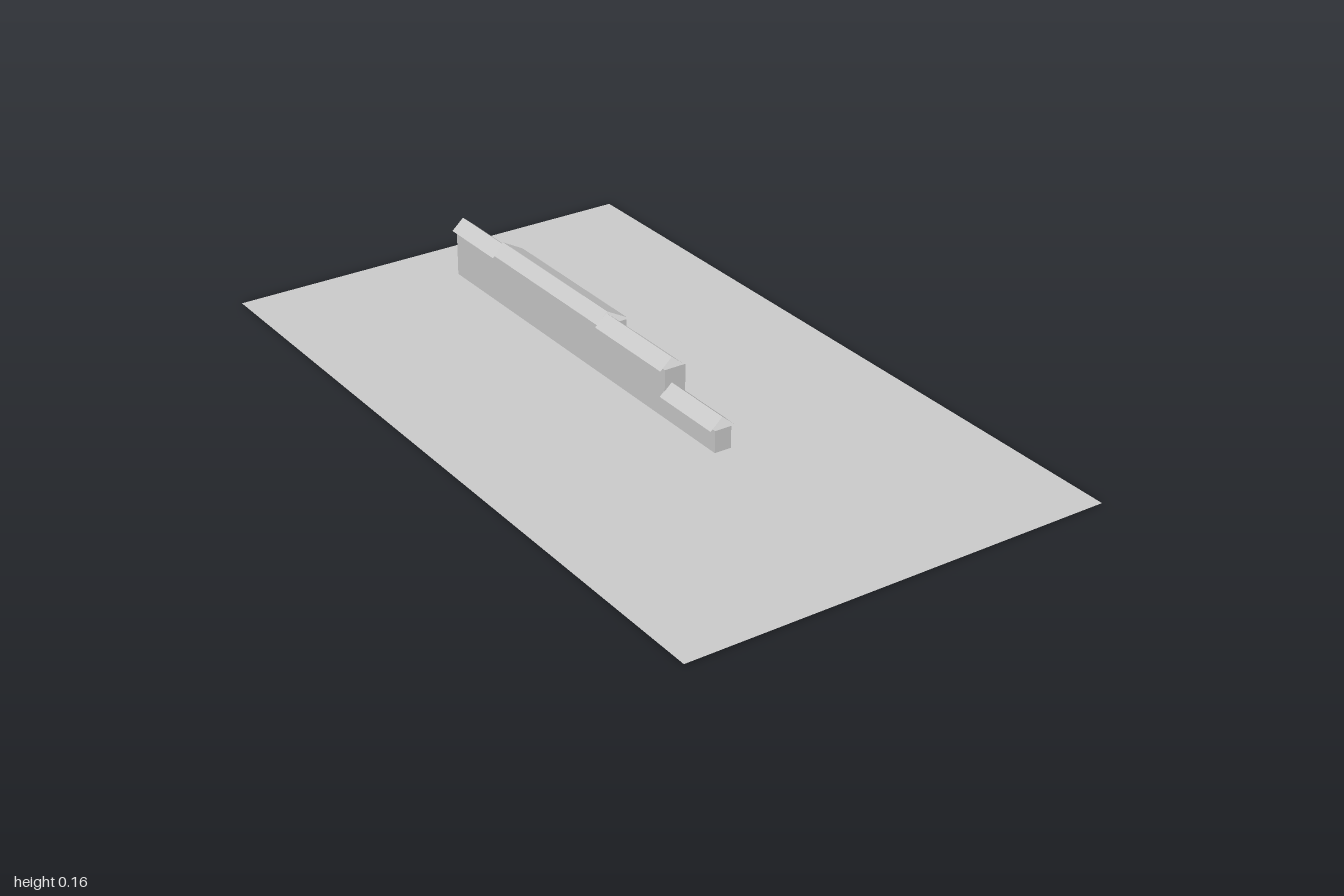
import * as THREE from 'three';

export function createModel() {
  const model = new THREE.Group();
  const grey = new THREE.MeshStandardMaterial({ color: 0xcccccc, flatShading: true });
  const thin = new THREE.MeshStandardMaterial({ color: 0xcccccc, flatShading: true, side: THREE.DoubleSide });

  const add = (name, geometry, material = grey, parent = model) => {
    const mesh = new THREE.Mesh(geometry, material);
    mesh.name = name;
    parent.add(mesh);
    return mesh;
  };

  // Box given by its limits on each axis
  const block = (name, x0, x1, y0, y1, z0, z1, parent = model) => {
    const mesh = add(name, new THREE.BoxGeometry(x1 - x0, y1 - y0, z1 - z0), grey, parent);
    mesh.position.set((x0 + x1) / 2, (y0 + y1) / 2, (z0 + z1) / 2);
    return mesh;
  };

  // Thin two-slope roof with open gable ends; profile is a list of [x, y]
  const roof = (name, profile, z0, z1) => {
    const positions = [];
    for (let i = 0; i < profile.length - 1; i++) {
      const [ax, ay] = profile[i], [bx, by] = profile[i + 1];
      positions.push(ax, ay, z1, bx, by, z1, bx, by, z0, ax, ay, z1, bx, by, z0, ax, ay, z0);
    }
    const geometry = new THREE.BufferGeometry();
    geometry.setAttribute('position', new THREE.Float32BufferAttribute(positions, 3));
    geometry.computeVertexNormals();
    add(name, geometry, thin);
  };

  // Framed window with crossbars and a sill, facing +x
  const windowAt = (x, y, z, w, h) => {
    const group = new THREE.Group();
    group.name = 'window';
    group.position.set(x, y, z);
    group.rotation.y = Math.PI / 2;
    model.add(group);
    const t = 0.003;
    const shape = new THREE.Shape([[-1, -1], [1, -1], [1, 1], [-1, 1]]
      .map(([a, b]) => new THREE.Vector2(a * w / 2, b * h / 2)));
    shape.holes.push(new THREE.Path([[-1, -1], [-1, 1], [1, 1], [1, -1]]
      .map(([a, b]) => new THREE.Vector2(a * (w / 2 - t), b * (h / 2 - t)))));
    add('windowFrame', new THREE.ExtrudeGeometry(shape, { depth: 0.004, bevelEnabled: false }), grey, group);
    block('mullion', -0.001, 0.001, -h / 2 + t, h / 2 - t, 0, 0.003, group);
    block('transom', -w / 2 + t, w / 2 - t, h * 0.15, h * 0.15 + 0.002, 0, 0.003, group);
    block('sill', -w / 2 - 0.002, w / 2 + 0.002, -h / 2 - 0.003, -h / 2, 0, 0.006, group);
  };
  const windowRow = (x, y, z0, z1, count, w, h) => {
    for (let i = 0; i < count; i++) windowAt(x, y, z0 + (z1 - z0) * (i + 0.5) / count, w, h);
  };

  // Ground sheet
  const ground = add('ground', new THREE.PlaneGeometry(1.14, 2), thin);
  ground.rotation.x = -Math.PI / 2;
  ground.position.y = 0.002;

  // Walls
  block('mainWalls', -0.015, 0.031, 0, 0.13, -0.84, 0.125);
  block('centralWalls', 0, 0.06, 0, 0.13, -0.63, -0.15);
  block('lowWingWalls', -0.015, 0.031, 0, 0.06, 0.125, 0.33);
  block('cornerPilaster', 0.031, 0.044, 0, 0.13, 0.115, 0.125);

  // Roofs
  const main = [[0.04, 0.13], [0.005, 0.16], [-0.028, 0.13]];
  roof('rearMainRoof', main, -0.84, -0.635);
  roof('frontMainRoof', main, -0.155, 0.125);
  roof('centralRoof', [[0.065, 0.132], [0.007, 0.164], [-0.022, 0.134]], -0.64, -0.155);
  roof('lowWingRoof', [[0.04, 0.062], [0.005, 0.092], [-0.028, 0.062]], 0.123, 0.33);

  // Windows on both storeys
  for (const y of [0.045, 0.108]) {
    windowRow(0.031, y, -0.13, 0.105, 4, 0.033, 0.032);
    windowRow(0.031, y, -0.83, -0.65, 3, 0.033, 0.032);
    windowRow(0.06, y, -0.29, -0.155, 3, 0.03, 0.032);
    windowRow(0.06, y, -0.625, -0.49, 3, 0.03, 0.032);
  }
  windowRow(0.06, 0.108, -0.46, -0.32, 3, 0.03, 0.032);
  windowRow(0.031, 0.042, 0.14, 0.325, 4, 0.03, 0.022);

  // Entrance: double door, posts and lintel
  for (const side of [-1, 1]) {
    const z = -0.39 + side * 0.016;
    block('doorLeaf', 0.06, 0.063, 0.025, 0.075, z - 0.015, z + 0.015);
    const p = -0.39 + side * 0.04;
    block('doorPost', 0.06, 0.066, 0.02, 0.08, p - 0.005, p + 0.005);
  }
  block('doorLintel', 0.06, 0.068, 0.08, 0.086, -0.44, -0.34);

  // Entrance steps, widest at the bottom
  [[0.14, 0.13, 0.01], [0.105, 0.1, 0.017], [0.085, 0.065, 0.024]].forEach(([x, half, top]) =>
    block('entranceStep', 0.06, x, 0, top, -0.39 - half, -0.39 + half));

  return model;
}
